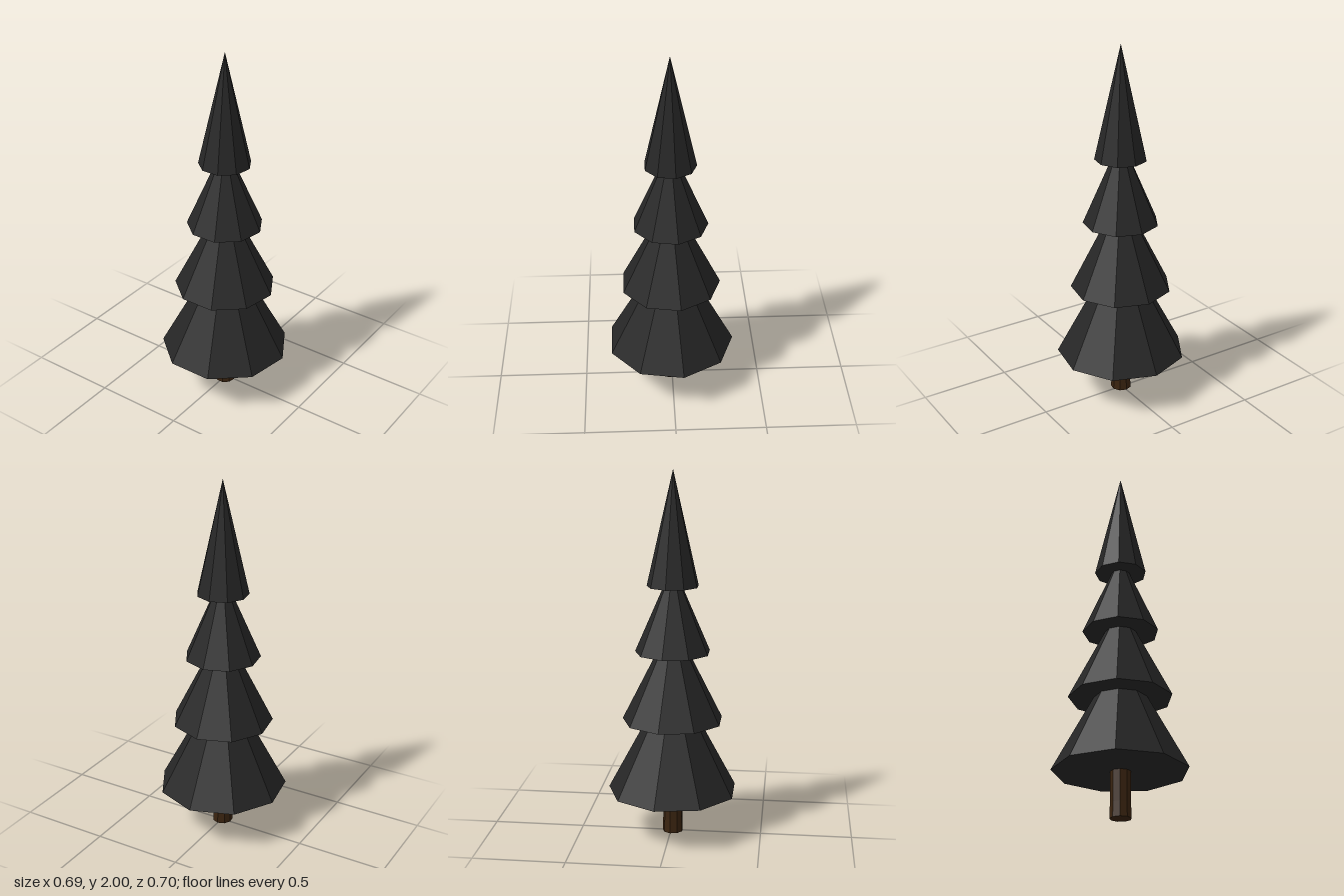
import * as THREE from 'three';

const SIDES = 9;

export function createModel() {
  const tree = new THREE.Group();
  tree.name = 'tree';

  const foliage = new THREE.MeshStandardMaterial({ color: 0x262626, flatShading: true });
  foliage.name = 'dark foliage';
  const bark = new THREE.MeshStandardMaterial({ color: 0x3a2410, flatShading: true });
  bark.name = 'brown bark';

  // Nine-sided frustum or cone with one corner pointing along +x
  function addTier(name, material, topRadius, bottomRadius, bottom, top) {
    const geometry = new THREE.CylinderGeometry(
      topRadius, bottomRadius, top - bottom, SIDES, 1, false, Math.PI / 2);
    const mesh = new THREE.Mesh(geometry, material);
    mesh.name = name;
    mesh.position.set(-0.01, (bottom + top) / 2, 0);
    tree.add(mesh);
  }

  // Trunk: slightly flared foot below a straight stem
  addTier('trunkFoot', bark, 0.054, 0.057, 0, 0.08);
  addTier('trunk', bark, 0.054, 0.054, 0.08, 0.3);

  // Stacked foliage cones: [radius, bottom, apex], each tip hidden in the next
  const tiers = [
    [0.357, 0.245, 0.912],
    [0.277, 0.645, 1.195],
    [0.206, 1.025, 1.5],
    [0.141, 1.385, 2],
  ];
  tiers.forEach(([radius, bottom, apex], i) =>
    addTier(`foliageTier${i + 1}`, foliage, 0, radius, bottom, apex));

  return tree;
}
